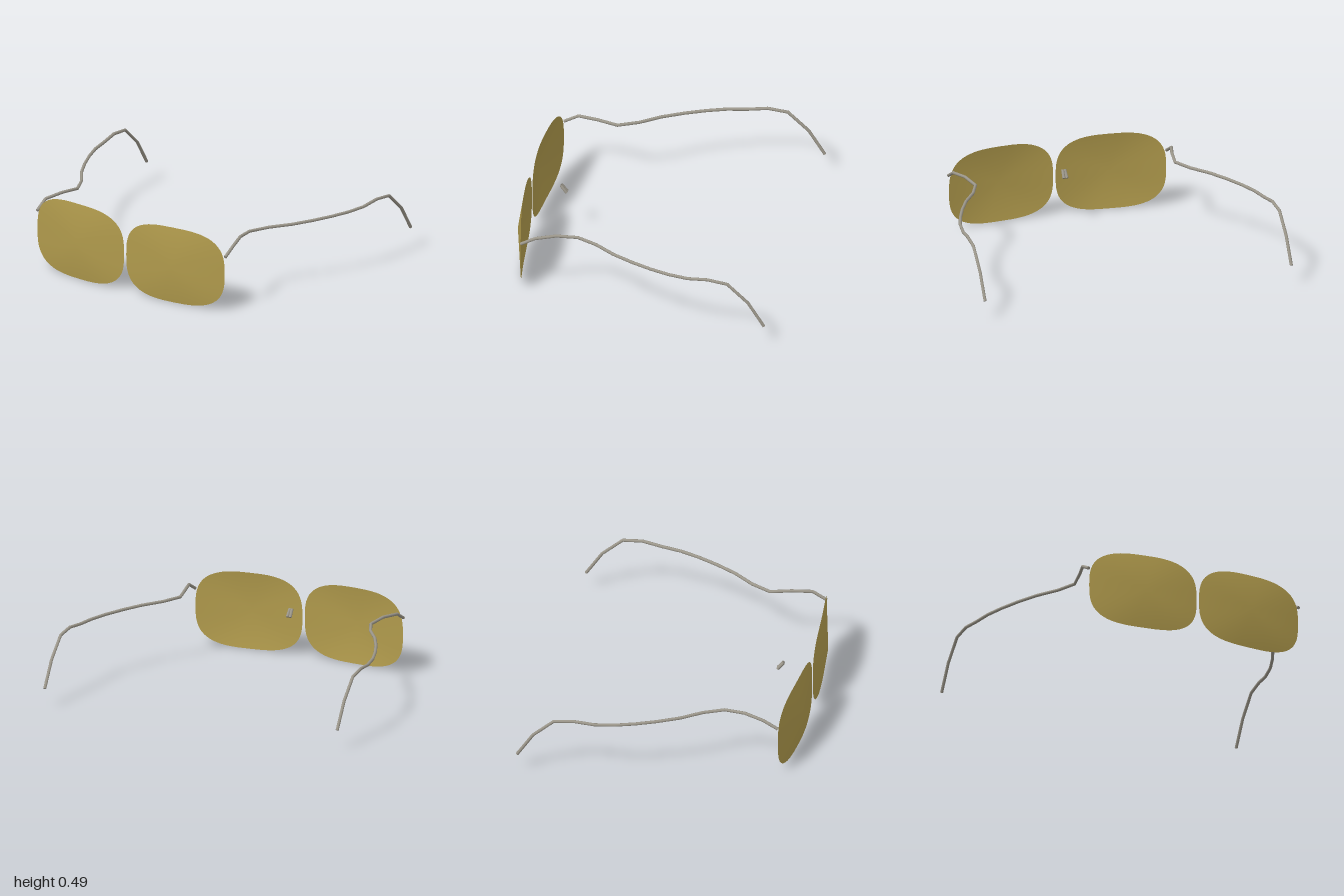
import * as THREE from 'three';

const metal = new THREE.MeshStandardMaterial({ color: 0x9c978b, side: THREE.DoubleSide });
metal.name = 'brushedMetal';
const tint = new THREE.MeshStandardMaterial({ color: 0xb09a4c, side: THREE.DoubleSide });
tint.name = 'amberLens';

// Straight-segment path that keeps every corner when swept
class Polyline extends THREE.Curve {
  constructor(points) {
    super();
    this.points = points;
  }
  getPoint(t, target = new THREE.Vector3()) {
    const last = this.points.length - 1;
    const f = THREE.MathUtils.clamp(t, 0, 1) * last;
    const i = Math.min(Math.floor(f), last - 1);
    return target.lerpVectors(this.points[i], this.points[i + 1], f - i);
  }
  getPointAt(u, target) { return this.getPoint(u, target); }
  getTangentAt(u, target) { return this.getTangent(u, target); }
}

// Thin wire with closed ends
function wire(name, coords, radius, sides) {
  const group = new THREE.Group();
  group.name = name;
  const pts = coords.map((p) => new THREE.Vector3(...p));
  const n = pts.length - 1;
  const tube = new THREE.Mesh(new THREE.TubeGeometry(new Polyline(pts), n, radius, sides), metal);
  tube.name = name + 'Wire';
  group.add(tube);
  for (const [end, inner] of [[0, 1], [n, n - 1]]) {
    const cap = new THREE.Mesh(new THREE.CircleGeometry(radius, sides), metal);
    cap.name = name + 'Cap';
    cap.position.copy(pts[end]);
    cap.lookAt(pts[end].clone().multiplyScalar(2).sub(pts[inner]));
    group.add(cap);
  }
  return group;
}

// Rounded-rectangle lens: a shallow fan from its centre to a wrapped rim
function lens(name, side) {
  const steps = 64, cx = 0.355, cy = 0.247, rx = 0.347, ry = 0.245;
  const power = (v) => Math.sign(v) * Math.abs(v) ** (2 / 3);
  const pos = [side * cx, cy, 0.835];
  const index = [];
  for (let i = 0; i < steps; i++) {
    const a = (i / steps) * Math.PI * 2;
    const x = cx + rx * power(Math.cos(a));
    pos.push(side * x, cy + ry * power(Math.sin(a)), 0.814 - 0.129 * x * x);
    const p = 1 + i, q = 1 + ((i + 1) % steps);
    if (side > 0) index.push(0, p, q);
    else index.push(0, q, p);
  }
  const geo = new THREE.BufferGeometry();
  geo.setAttribute('position', new THREE.Float32BufferAttribute(pos, 3));
  geo.setIndex(index);
  geo.computeVertexNormals();
  const mesh = new THREE.Mesh(geo, tint);
  mesh.name = name;
  return mesh;
}

export function createModel() {
  const model = new THREE.Group();
  model.name = 'spectacles';

  // Hinge end, curved arm, then the drop behind the ear
  const temple = [
    [0.705, 0.36, 0.75], [0.705, 0.41, 0.66], [0.668, 0.421, 0.535], [0.645, 0.411, 0.405],
    [0.702, 0.411, 0.28], [0.79, 0.411, 0.155], [0.857, 0.411, 0.025], [0.91, 0.411, -0.1],
    [0.95, 0.411, -0.22], [0.973, 0.411, -0.345], [0.985, 0.425, -0.47], [0.989, 0.41, -0.595],
    [0.99, 0.29, -0.725], [0.99, 0.132, -0.825],
  ];
  for (const [label, side] of [['left', 1], ['right', -1]]) {
    model.add(lens(label + 'Lens', side));
    model.add(wire(label + 'Temple', temple.map(([x, y, z]) => [side * x, y, z]), 0.01, 8));
  }

  // Small tilted bridge loop behind the lenses
  model.add(wire('bridge', [
    [-0.01, 0.312, 0.597], [-0.007, 0.355, 0.63], [0.007, 0.355, 0.63], [0.01, 0.312, 0.597],
  ], 0.01, 8));
  return model;
}
